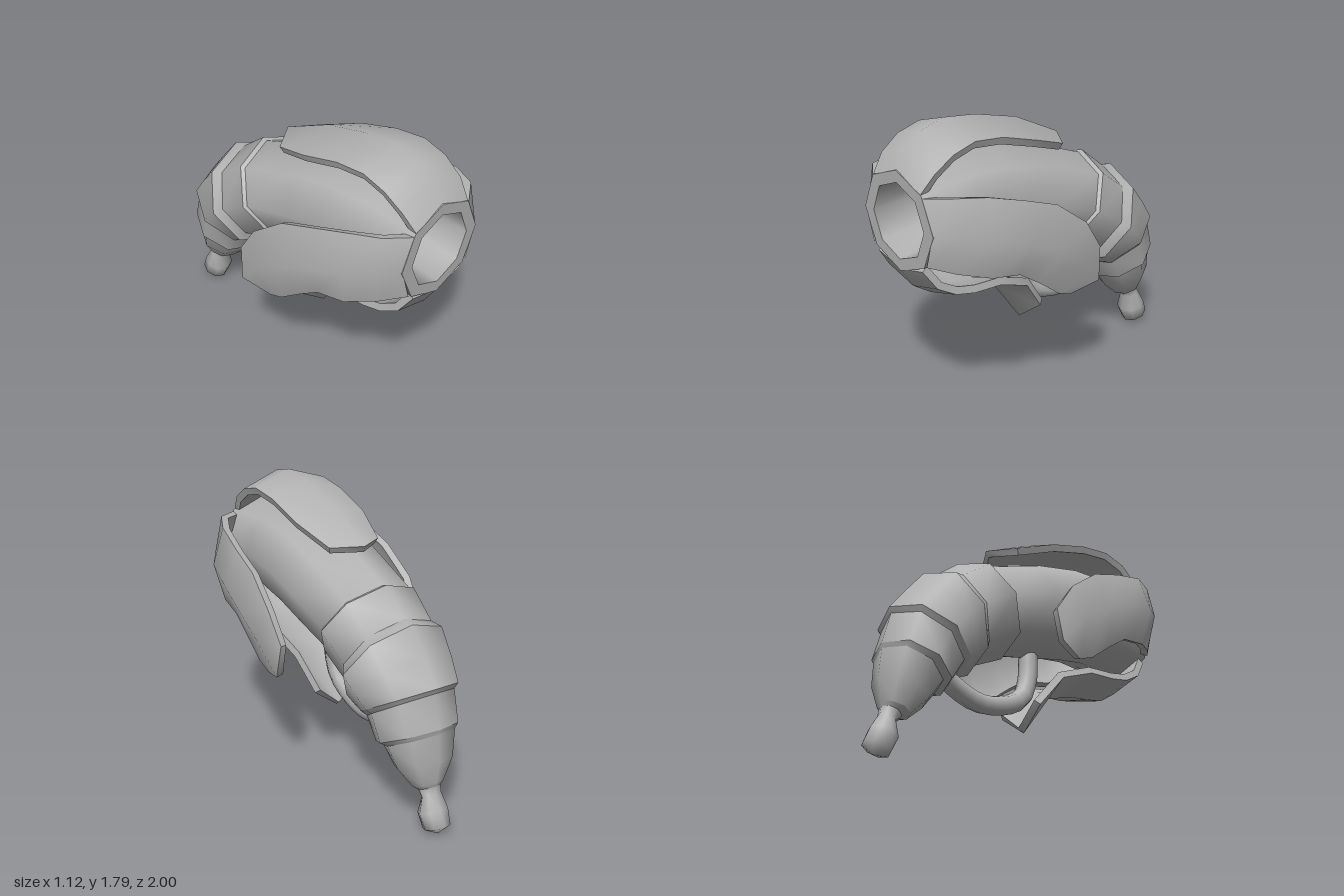
import * as THREE from 'three';

const grey = new THREE.MeshStandardMaterial({ color: 0xb3b3b3 });
grey.name = 'plain grey';

// Surface over a grid of points; rows run along the body, smooth normals
function skin(rows, closed = false) {
  const n = rows[0].length, idx = [];
  for (let i = 0; i < rows.length - 1; i++) {
    for (let j = 0; j < (closed ? n : n - 1); j++) {
      const k = (j + 1) % n, a = i * n + j, b = i * n + k;
      idx.push(a, b, a + n, b, b + n, a + n);
    }
  }
  const g = new THREE.BufferGeometry().setFromPoints(rows.flat());
  g.setIndex(idx);
  g.computeVertexNormals();
  return g;
}

// Octagonal section from its top (z, y), bottom (z, y) and half width
function octagon([zt, yt, zb, yb, w]) {
  const pts = [];
  for (let j = 0; j < 8; j++) {
    const a = j * Math.PI / 4, c = (1 + Math.cos(a)) / 2;
    pts.push(new THREE.Vector3(w * Math.sin(a), yb + (yt - yb) * c, zb + (zt - zb) * c));
  }
  return pts;
}

function add(parent, name, geometry) {
  const m = new THREE.Mesh(geometry, grey);
  m.name = name;
  parent.add(m);
}
const tube = (sections) => skin(sections.map(octagon), true);

// Thick curved plate: outer skin, inner skin offset along normals, sharp rim
function plate(name, rows, t = 0.045) {
  const group = new THREE.Group();
  group.name = name;
  const outer = skin(rows), nrm = outer.attributes.normal, n = rows[0].length;
  const inner = rows.map((r, i) => r.map((p, j) => {
    const q = p.clone().addScaledVector(new THREE.Vector3().fromBufferAttribute(nrm, i * n + j), -t);
    q.z = Math.min(q.z, 1);
    return q;
  }));
  add(group, name + 'Outer', outer);
  add(group, name + 'Inner', skin(inner.map((r) => [...r].reverse())));
  const last = rows.length - 1;
  const rim = (o, i) => add(group, name + 'Rim', skin([o, i]));
  rim(rows[last], inner[last]);
  rim([...rows[0]].reverse(), [...inner[0]].reverse());
  rim(rows.map((r) => r[0]), inner.map((r) => r[0]));
  rim(rows.map((r) => r[n - 1]).reverse(), inner.map((r) => r[n - 1]).reverse());
  return group;
}

// Plate symmetric in x: ridge (z, y), edge (z, y) and half width
const ridged = (list, s) => list.map(([zm, ym, ze, ye, w]) => [
  new THREE.Vector3(-s * w, ye, ze),
  new THREE.Vector3(0, ym, zm),
  new THREE.Vector3(s * w, ye, ze),
]);

export function createModel() {
  const model = new THREE.Group();
  model.name = 'segmentedHorn';

  // Main body and the stepped rings behind it
  const mouth = [1, 1.58, 1, 0.99, 0.305];
  const bodyEnd = [-0.36, 1.35, -0.05, 0.85, 0.312];
  const ring1 = [-0.39, 1.36, -0.05, 0.83, 0.33];
  const ring1End = [-0.57, 1.215, -0.29, 0.71, 0.315];
  const ring2 = [-0.645, 1.205, -0.31, 0.645, 0.35];
  const ring2End = [-0.88, 0.905, -0.38, 0.61, 0.3];
  const ring3 = [-0.865, 0.87, -0.42, 0.59, 0.27];
  const ring3End = [-0.92, 0.67, -0.5, 0.47, 0.255];
  const cone = [-0.915, 0.64, -0.55, 0.46, 0.22];
  const coneEnd = [-0.905, 0.32, -0.73, 0.265, 0.1];
  const neck = [-0.9, 0.3, -0.78, 0.25, 0.07];

  add(model, 'body', tube([mouth, [0.68, 1.61, 0.65, 1.01, 0.315],
    [0.37, 1.59, 0.42, 0.97, 0.32], [0.05, 1.51, 0.2, 0.91, 0.32], bodyEnd]));
  add(model, 'ring1Lip', tube([bodyEnd, ring1]));
  add(model, 'ring1', tube([ring1, ring1End]));
  add(model, 'ring2Lip', tube([ring1End, ring2]));
  add(model, 'ring2', tube([ring2, [-0.77, 1.05, -0.35, 0.63, 0.33], ring2End]));
  add(model, 'ring2Step', tube([ring2End, ring3]));
  add(model, 'ring3', tube([ring3, ring3End]));
  add(model, 'ring3Step', tube([ring3End, cone]));
  add(model, 'tailCone', tube([cone, [-0.93, 0.47, -0.63, 0.355, 0.18], coneEnd]));
  add(model, 'tailConeEnd', tube([coneEnd, neck]));
  add(model, 'tailKnob', tube([neck, [-0.905, 0.26, -0.82, 0.21, 0.065],
    [-0.96, 0.17, -0.8, 0.11, 0.093], [-1, 0.08, -0.84, 0.02, 0.08],
    [-0.935, 0.01, -0.935, 0.01, 0]]));

  // Open mouth: flat front ring and the hollow inside
  const hole = [1, 1.51, 1, 1.06, 0.225];
  add(model, 'mouthRing', tube([hole, mouth]));
  add(model, 'mouthHollow', tube([[0.2, 1.27, 0.2, 1.27, 0],
    [0.25, 1.4, 0.25, 1.13, 0.14], [0.6, 1.5, 0.6, 1.1, 0.2], hole]));

  // Top and bottom plates
  model.add(plate('topPlate', ridged([
    [1, 1.57, 1, 1.5, 0.21], [0.92, 1.69, 0.92, 1.6, 0.235], [0.82, 1.76, 0.8, 1.68, 0.245],
    [0.67, 1.8, 0.65, 1.72, 0.245], [0.45, 1.77, 0.45, 1.695, 0.24],
    [0.15, 1.69, 0.19, 1.615, 0.235], [-0.175, 1.53, -0.065, 1.52, 0.17],
  ], 1)));
  model.add(plate('bottomPlate', ridged([
    [1, 1.0, 1, 1.05, 0.2], [0.92, 0.87, 0.92, 0.93, 0.225], [0.8, 0.79, 0.8, 0.86, 0.235],
    [0.67, 0.765, 0.67, 0.83, 0.24], [0.52, 0.74, 0.48, 0.815, 0.24],
    [0.33, 0.675, 0.26, 0.73, 0.22], [0.13, 0.4, 0.11, 0.53, 0.17],
  ], -1)));

  // Side plates: upper edge, ridge and lower edge as (x, y, z)
  const side = [
    [[0.22, 1.48, 1], [0.3, 1.29, 1], [0.24, 1.09, 1]],
    [[0.36, 1.495, 0.9], [0.41, 1.28, 0.9], [0.35, 1.05, 0.88]],
    [[0.44, 1.48, 0.73], [0.51, 1.25, 0.74], [0.45, 1.01, 0.72]],
    [[0.475, 1.41, 0.5], [0.55, 1.18, 0.52], [0.47, 0.98, 0.54]],
    [[0.49, 1.33, 0.28], [0.56, 1.08, 0.32], [0.475, 0.885, 0.4]],
    [[0.51, 1.17, 0.07], [0.56, 0.97, 0.13], [0.475, 0.77, 0.25]],
    [[0.5, 0.98, -0.055], [0.52, 0.78, -0.03], [0.47, 0.73, 0.15]],
  ];
  for (const [s, name] of [[1, 'leftPlate'], [-1, 'rightPlate']]) {
    model.add(plate(name, side.map((row) => {
      const pts = row.map(([x, y, z]) => new THREE.Vector3(s * x, y, z));
      return s > 0 ? pts : pts.reverse();
    })));
  }

  // Curved handle under the body
  const path = new THREE.CatmullRomCurve3([
    [0.92, 0.17], [0.75, 0.16], [0.62, 0.11], [0.54, -0.02], [0.5, -0.22], [0.55, -0.4], [0.63, -0.53],
  ].map(([y, z]) => new THREE.Vector3(0, y, z)));
  add(model, 'handle', new THREE.TubeGeometry(path, 14, 0.06, 8));

  return model;
}
